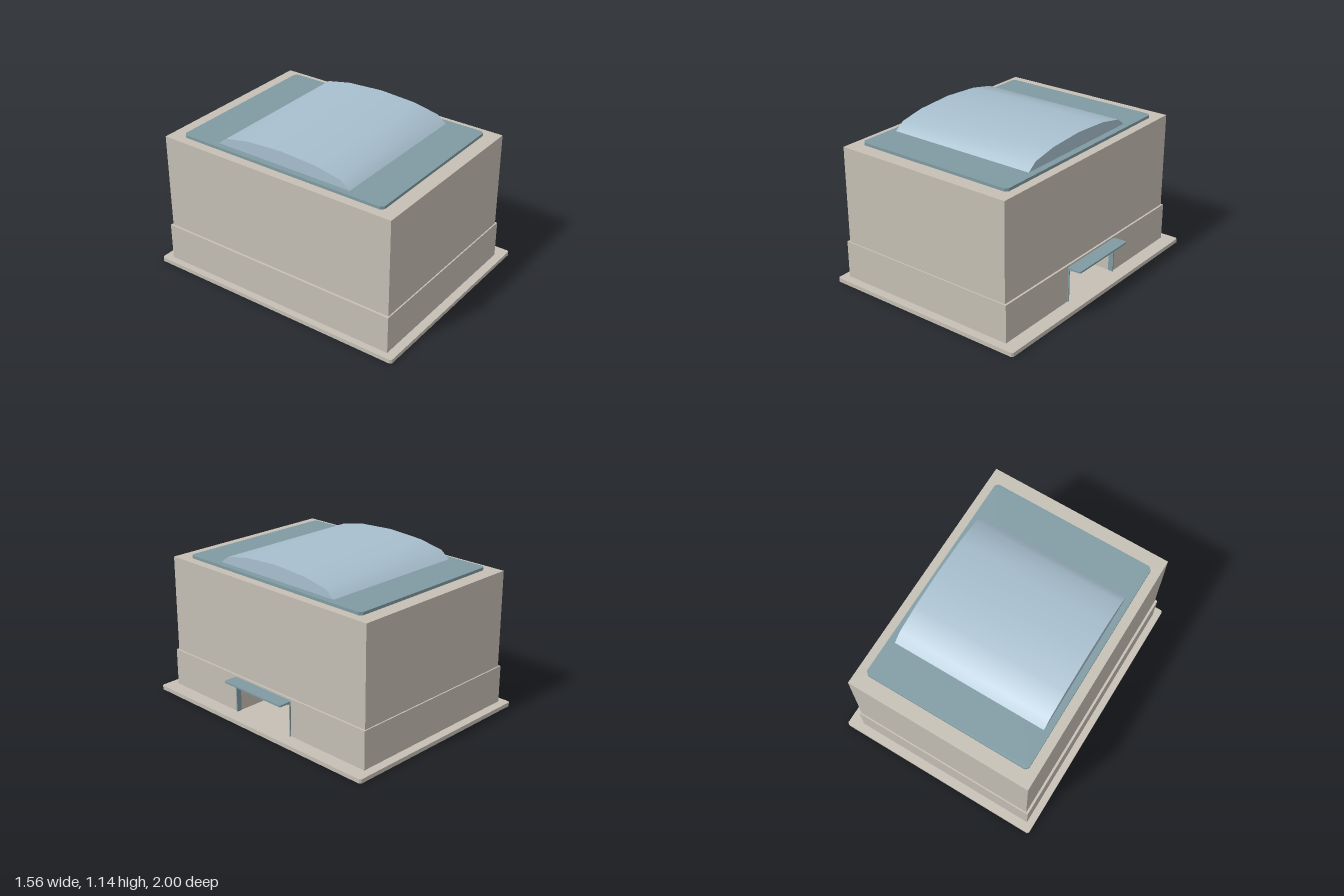
import * as THREE from 'three';
import { toCreasedNormals } from 'three/addons/utils/BufferGeometryUtils.js';

const makeMaterial = (name, color) => {
  const m = new THREE.MeshStandardMaterial({ color });
  m.name = name;
  return m;
};

// Horizontal slab from an outline of [x, z] points, between two heights
function slab(points, y0, y1) {
  const shape = new THREE.Shape(points.map(([x, z]) => new THREE.Vector2(x, -z)));
  const g = new THREE.ExtrudeGeometry(shape, { depth: y1 - y0, bevelEnabled: false });
  return g.rotateX(-Math.PI / 2).translate(0, y0, 0);
}

// Rectangle outline with cut corners
function cutRect(x0, x1, z, c) {
  return [[x0 + c, z], [x1 - c, z], [x1, z - c], [x1, c - z],
    [x1 - c, -z], [x0 + c, -z], [x0, c - z], [x0, z - c]];
}

function box(x0, x1, y0, y1, z0, z1) {
  return new THREE.BoxGeometry(x1 - x0, y1 - y0, z1 - z0)
    .translate((x0 + x1) / 2, (y0 + y1) / 2, (z0 + z1) / 2);
}

export function createModel() {
  const model = new THREE.Group();
  const stone = makeMaterial('stone', 0xc5bfb4);
  const metal = makeMaterial('blueGreyMetal', 0x809ba3);
  const glass = makeMaterial('paleBlueGlass', 0xa8bfce);
  const add = (name, geometry, material) => {
    const mesh = new THREE.Mesh(geometry, material);
    mesh.name = name;
    model.add(mesh);
  };

  // Ground slab
  add('baseSlab', slab(cutRect(-0.78, 0.78, 1, 0.012), 0, 0.03), stone);

  // Plinth with a deep doorway opening on its +x side
  const left = -0.73, right = 0.676, pz = 0.936, dz = 0.268, inner = 0.2;
  add('plinth', slab([[left, pz], [right, pz], [right, dz], [inner, dz],
    [inner, -dz], [right, -dz], [right, -pz], [left, -pz]], 0.03, 0.265), stone);
  add('plinthTop', box(left, right, 0.265, 0.305, -pz, pz), stone);

  // Main block
  add('mainBlock', box(-0.713, 0.661, 0.305, 1.013, -0.926, 0.926), stone);

  // Roof plate and curved skylight
  add('roofPlate', slab(cutRect(-0.645, 0.595, 0.82, 0.022), 1.013, 1.034), metal);
  const half = [[0.54, 1.034], [0.47, 1.087], [0.28, 1.124]];
  const arch = [...half, [0, 1.14], ...half.map(([z, y]) => [-z, y]).reverse()];
  const vault = new THREE.ExtrudeGeometry(
    new THREE.Shape(arch.map(([z, y]) => new THREE.Vector2(z, y))),
    { depth: 1.146, bevelEnabled: false });
  vault.rotateY(Math.PI / 2).translate(-0.6, 0, 0);
  add('skylight', toCreasedNormals(vault, 0.6), glass);

  // Entrance: canopy, lintel and side jambs
  add('canopy', slab(cutRect(0.676, 0.78, 0.28, 0.008), 0.28, 0.292), metal);
  add('lintel', box(0.66, 0.7, 0.264, 0.28, -0.268, 0.268), stone);
  for (const s of [-1, 1]) {
    add(s > 0 ? 'frontJamb' : 'backJamb',
      box(0.645, 0.684, 0.03, 0.28, s * 0.268 - 0.004, s * 0.268 + 0.004), metal);
  }
  return model;
}
